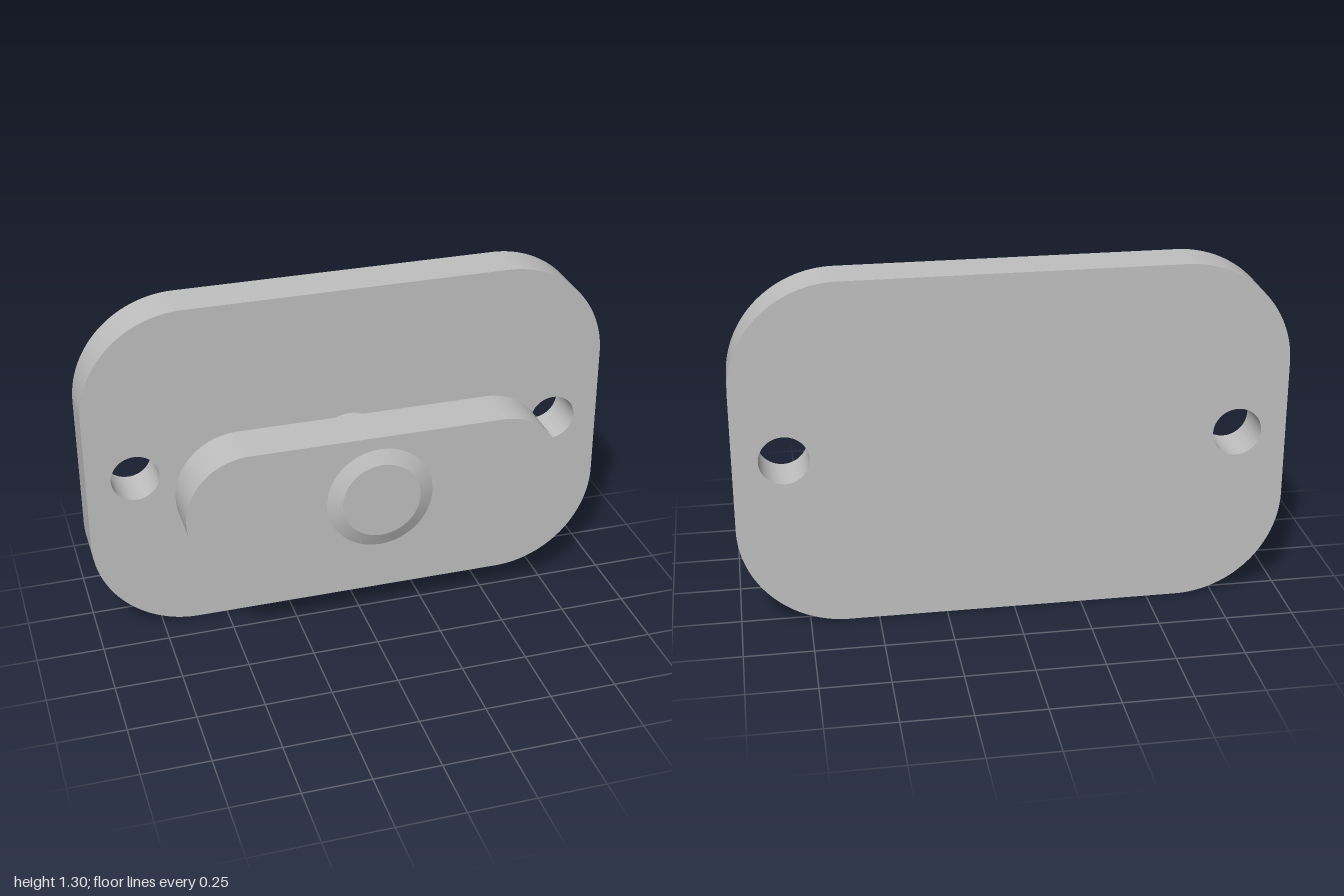
import * as THREE from 'three';
import { toCreasedNormals } from 'three/addons/utils/BufferGeometryUtils.js';

const CENTER_Y = 0.648;

// Rounded rectangle centred on the origin
function roundedRect(halfW, halfH, r) {
  const s = new THREE.Shape();
  const x = halfW - r, y = halfH - r;
  s.absarc(x, y, r, 0, Math.PI / 2);
  s.absarc(-x, y, r, Math.PI / 2, Math.PI);
  s.absarc(-x, -y, r, Math.PI, Math.PI * 1.5);
  s.absarc(x, -y, r, Math.PI * 1.5, Math.PI * 2);
  s.closePath();
  return s;
}

export function createModel() {
  const group = new THREE.Group();
  const metal = new THREE.MeshStandardMaterial({ color: 0xc0c0c0 });
  metal.name = 'light grey metal';

  function add(name, geometry, z = 0) {
    const mesh = new THREE.Mesh(toCreasedNormals(geometry, 0.35), metal);
    mesh.name = name;
    mesh.position.set(0, CENTER_Y, z);
    group.add(mesh);
  }

  const slab = (shape, depth) =>
    new THREE.ExtrudeGeometry(shape, { depth, bevelEnabled: false, curveSegments: 24 });

  // Turned part along z from [radius, z] pairs, back to front
  const turned = (profile) =>
    new THREE.LatheGeometry(profile.map(([r, z]) => new THREE.Vector2(r, z)), 64).rotateX(Math.PI / 2);

  // Back plate with two screw holes
  const plate = roundedRect(1, CENTER_Y, 0.39);
  for (const side of [-1, 1]) {
    const hole = new THREE.Path();
    hole.absarc(side * 0.818, 0, 0.09, 0, Math.PI * 2, true);
    plate.holes.push(hole);
  }
  add('backPlate', slab(plate, 0.175), -0.29);

  // Stepped spindle joining plate and bar
  add('spindle', turned([
    [0, -0.115], [0.146, -0.115], [0.146, 0.018], [0.163, 0.018], [0.163, 0.063], [0, 0.063],
  ]));

  // Turn bar with round ends
  add('turnBar', slab(roundedRect(0.704, 0.235, 0.2345), 0.187), 0.063);

  // Chamfered cap on the front of the bar
  add('cap', turned([
    [0, 0.25], [0.176, 0.25], [0.198, 0.268], [0.145, 0.29], [0, 0.29],
  ]));

  return group;
}
